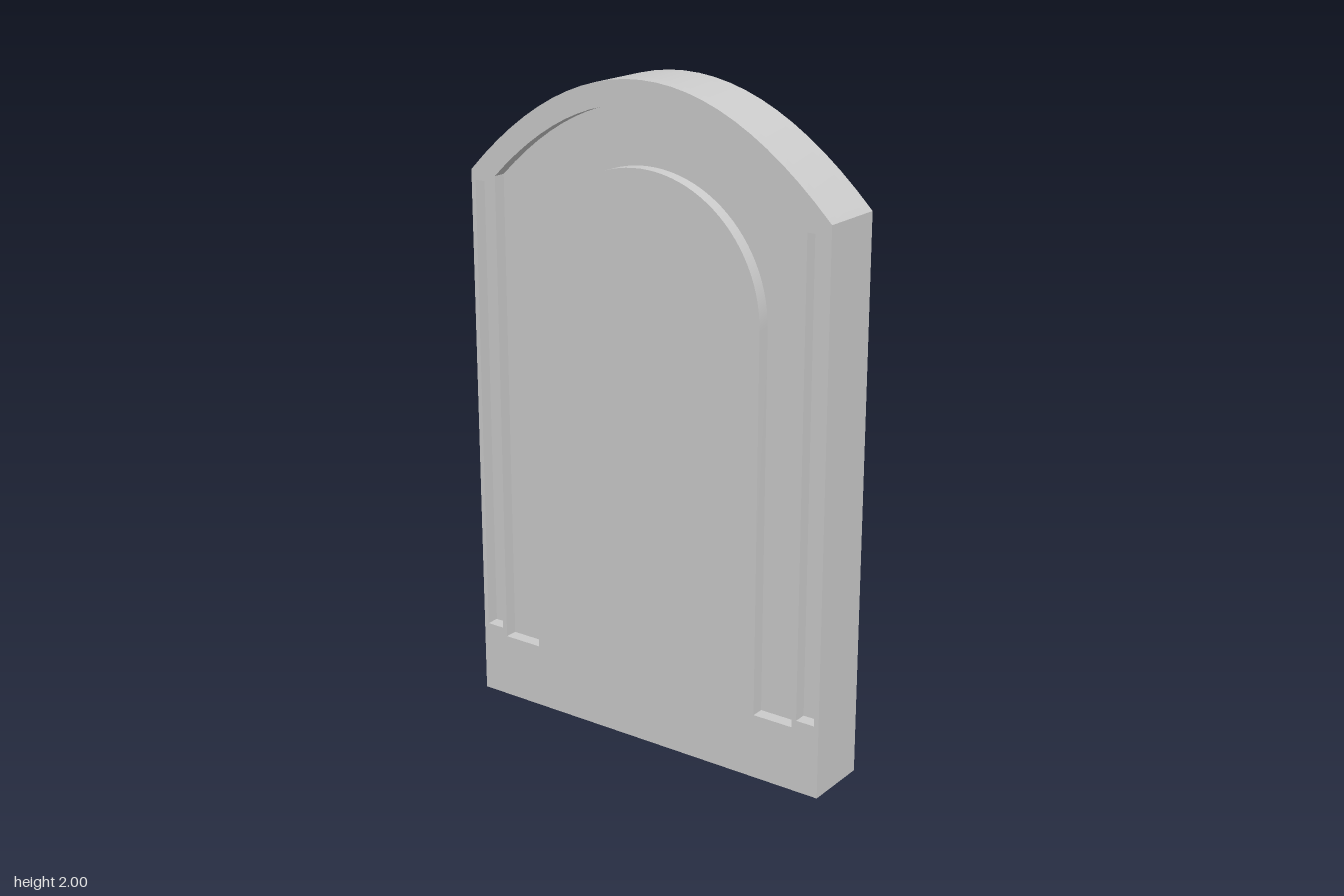
import * as THREE from 'three';
import { toCreasedNormals } from 'three/addons/utils/BufferGeometryUtils.js';

const HALF_DEPTH = 0.104, RECESS = 0.04;

// Slab outline: straight sides under a parabolic top
function outline() {
  const s = new THREE.Shape();
  s.moveTo(-0.62, 0);
  s.lineTo(0.62, 0);
  s.lineTo(0.62, 1.68);
  s.quadraticCurveTo(0, 2.32, -0.62, 1.68);
  s.closePath();
  return s;
}

// Sunken band between the outer arch and the round-headed panel
function archBand() {
  const p = new THREE.Path();
  p.moveTo(-0.53, 0.2);
  p.lineTo(-0.53, 1.67);
  p.quadraticCurveTo(0, 2.19, 0.53, 1.67);
  p.lineTo(0.53, 0.2);
  p.lineTo(0.4, 0.2);
  p.lineTo(0.4, 1.355);
  p.absarc(0, 1.355, 0.4, 0, Math.PI, false);
  p.lineTo(-0.4, 0.2);
  p.closePath();
  return p;
}

// Narrow upright groove beside the band
function groove(side) {
  const a = side * 0.575 - 0.03, b = side * 0.575 + 0.03;
  return new THREE.Path([[a, 0.225], [a, 1.65], [b, 1.65], [b, 0.225]]
    .map(([x, y]) => new THREE.Vector2(x, y)));
}

function slab(name, shape, z0, z1, material) {
  const geo = new THREE.ExtrudeGeometry(shape, { depth: z1 - z0, bevelEnabled: false, curveSegments: 24 });
  geo.translate(0, 0, z0);
  const mesh = new THREE.Mesh(toCreasedNormals(geo, 0.4), material);
  mesh.name = name;
  return mesh;
}

export function createModel() {
  const group = new THREE.Group();
  group.name = 'archedHeadstone';
  const stone = new THREE.MeshStandardMaterial({ color: 0xcccccc });

  // Solid core, whose faces form the floors of the recesses
  const inner = HALF_DEPTH - RECESS;
  group.add(slab('core', outline(), -inner, inner, stone));

  // Carved face layers, alike on front and back
  const face = outline();
  face.holes.push(archBand(), groove(-1), groove(1));
  group.add(slab('frontCarving', face, inner, HALF_DEPTH, stone));
  group.add(slab('backCarving', face, -HALF_DEPTH, -inner, stone));
  return group;
}
